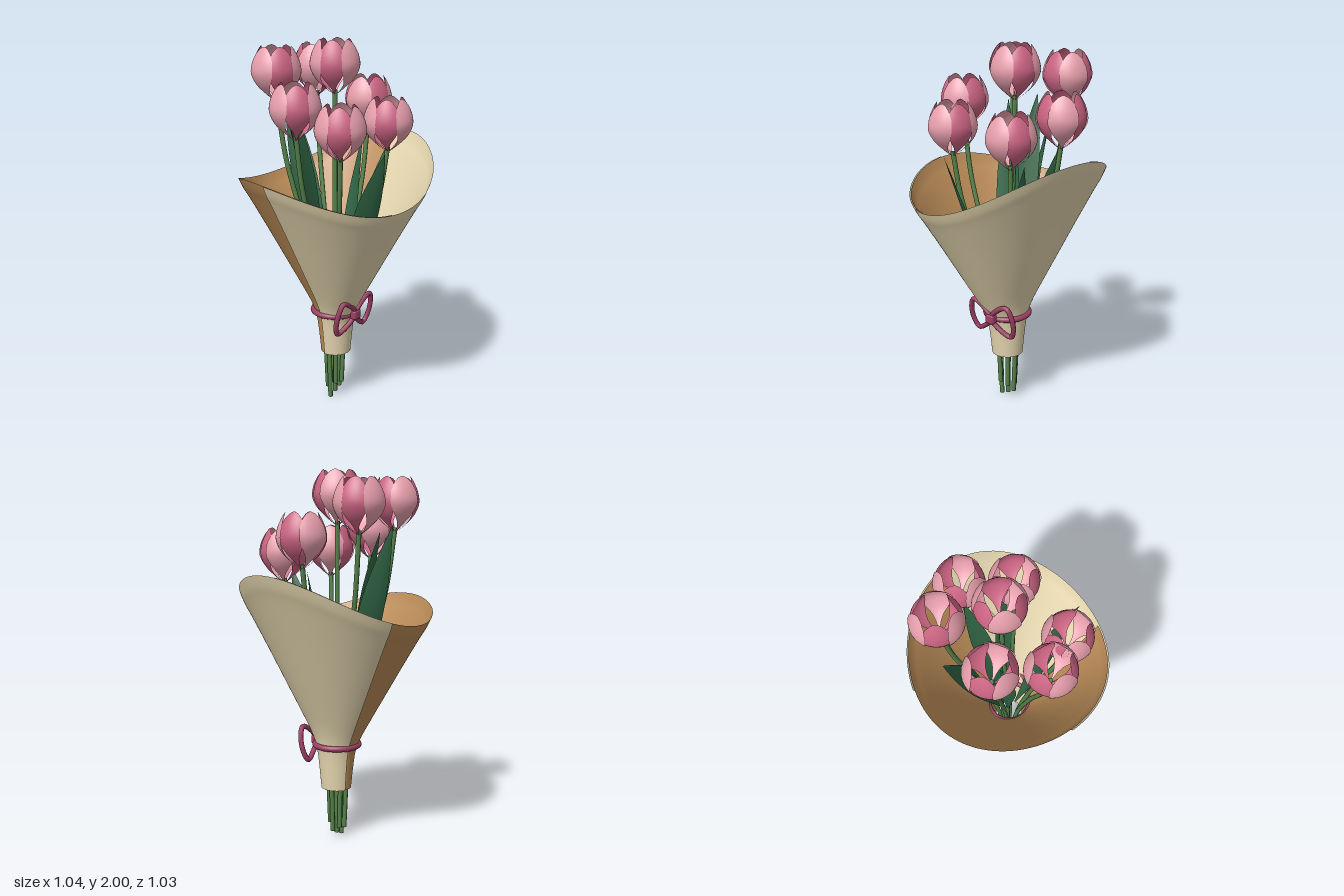
import * as THREE from 'three';
import { RoundedBoxGeometry } from 'three/addons/geometries/RoundedBoxGeometry.js';

const V = (x, y, z) => new THREE.Vector3(x, y, z);
const mat = (color) => new THREE.MeshStandardMaterial({ color, side: THREE.DoubleSide });
const cream = mat(0xe6d7b0), tan = mat(0xbb8c58), ribbon = mat(0x9c3f63);
const lightPink = mat(0xe8a0ad), darkPink = mat(0xcc6584);
const stemGreen = mat(0x55824a), leafGreen = mat(0x2f6444);

// Piecewise linear lookup in [[t, value], ...]
function lookup(table, t) {
  for (let i = 1; i < table.length; i++) {
    const [t0, a] = table[i - 1], [t1, b] = table[i];
    if (t <= t1) return a + (b - a) * (t - t0) / (t1 - t0);
  }
  return table[table.length - 1][1];
}

// Surface from a rule point(u, v), u across and v along
function surface(cols, rows, point) {
  const pos = [], idx = [];
  for (let j = 0; j <= rows; j++)
    for (let i = 0; i <= cols; i++) pos.push(...point(i / cols, j / rows).toArray());
  for (let j = 0; j < rows; j++)
    for (let i = 0; i < cols; i++) {
      const a = j * (cols + 1) + i, b = a + 1, c = a + cols + 1, d = c + 1;
      idx.push(a, c, b, b, c, d);
    }
  const g = new THREE.BufferGeometry();
  g.setAttribute('position', new THREE.Float32BufferAttribute(pos, 3));
  g.setIndex(idx);
  g.computeVertexNormals();
  return g;
}

function add(parent, name, geometry, material) {
  const m = new THREE.Mesh(geometry, material);
  m.name = name;
  parent.add(m);
  return m;
}

// Paper cone with a wavy rim, swept between two angles (0 = +x, 90 = +z)
const coneCurve = new THREE.SplineCurve([
  [0.086, 0], [0.098, 0.12], [0.113, 0.22], [0.143, 0.3], [0.195, 0.4], [0.249, 0.5],
  [0.303, 0.6], [0.357, 0.7], [0.412, 0.8], [0.468, 0.9], [0.498, 0.95], [0.52, 1],
].map(([r, t]) => new THREE.Vector2(r, t)));

function paper(fromDeg, toDeg, offset) {
  return surface(72, 36, (u, v) => {
    const a = THREE.MathUtils.degToRad(fromDeg + (toDeg - fromDeg) * u);
    const rim = 1.307 + 0.075 * Math.cos(a) + 0.0875 * Math.cos(2 * a) + 0.033 * Math.sin(2 * a);
    const p = coneCurve.getPoint(v), r = p.x + offset;
    return V(r * Math.cos(a), 0.28 + p.y * (rim - 0.28), r * Math.sin(a));
  });
}

// Petal: a patch of a cup, narrow at the base and pointed at the tip
const cupCurve = new THREE.SplineCurve([
  [0.008, 0], [0.05, 0.033], [0.1, 0.083], [0.128, 0.143], [0.123, 0.198], [0.103, 0.248], [0.08, 0.285],
].map(([x, y]) => new THREE.Vector2(x, y)));
const petalSpread = [[0, 0.25], [0.12, 0.2], [0.24, 0.3], [0.36, 0.48], [0.5, 0.62], [0.7, 0.62], [0.85, 0.5], [0.95, 0.28], [1, 0.06]];

function petal(scale) {
  return surface(8, 20, (u, v) => {
    const p = cupCurve.getPoint(v), s = u * 2 - 1;
    const a = s * lookup(petalSpread, v);
    const r = p.x * scale;
    return V(r * Math.sin(a), p.y, r * Math.cos(a));
  });
}
const outerPetal = petal(1.02), innerPetal = petal(0.97);

function tulip(x, base, z, foot, turn) {
  const g = new THREE.Group();
  g.name = 'tulip';
  const path = new THREE.CatmullRomCurve3([
    V(x * 0.13, foot, z * 0.13), V(x * 0.2, 0.4, z * 0.2),
    V(x * 0.55, 0.5 + (base - 0.5) * 0.42, z * 0.55), V(x * 0.86, 0.5 + (base - 0.5) * 0.75, z * 0.86),
    V(x, base + 0.02, z),
  ]);
  add(g, 'stem', new THREE.TubeGeometry(path, 28, 0.013, 8), stemGreen);
  for (const t of [0, 1]) {
    const cap = add(g, 'stemEnd', new THREE.CylinderGeometry(0.013, 0.013, 0.004, 8), stemGreen);
    cap.position.copy(path.getPoint(t));
  }
  const head = new THREE.Group();
  head.name = 'flowerHead';
  head.position.set(x, base, z);
  for (let i = 0; i < 6; i++) {
    const m = i % 2
      ? add(head, 'innerPetal', innerPetal, darkPink)
      : add(head, 'outerPetal', outerPetal, lightPink);
    m.rotation.y = turn + i * Math.PI / 3;
  }
  g.add(head);
  return g;
}

// Leaf: folded, twisting blade rising from the neck to a pointed tip
function leaf(x, y, z, half, twist) {
  const a = Math.atan2(z, x);
  return surface(2, 16, (u, v) => {
    const s = u * 2 - 1;
    const w = half * Math.max(0, Math.sin(Math.PI * Math.pow(0.06 + 0.94 * v, 1.4)));
    const dir = a + Math.PI / 2 + twist * v;
    const k = 0.1 + 0.9 * v, fold = Math.abs(s) * w * 0.3;
    return V(
      x * k + Math.cos(dir) * s * w - Math.cos(a) * fold,
      0.45 + (y - 0.45) * v,
      z * k + Math.sin(dir) * s * w - Math.sin(a) * fold,
    );
  });
}

export function createModel() {
  const model = new THREE.Group();
  model.name = 'tulipBouquet';

  // Two overlapping wrapping sheets
  add(model, 'outerPaper', paper(-69, 184, 0), cream);
  add(model, 'innerPaper', paper(-252, -1, -0.008), tan);

  // Flowers: x, head base, z, foot height, turn
  [
    [0.03, 1.715, -0.025, 0.02, 0],
    [-0.17, 1.68, -0.255, 0.05, 0.5],
    [0.18, 1.67, -0.275, 0.06, 0.9],
    [-0.305, 1.525, -0.005, 0.002, 0.3],
    [0.325, 1.5, -0.03, 0.04, 0.7],
    [-0.205, 1.425, 0.2, 0.09, 0.1],
    [0.19, 1.415, 0.205, 0.08, 0],
  ].forEach((t) => model.add(tulip(...t)));

  // Leaves: tip x, y, z, half width, twist
  [
    [-0.09, 1.47, 0.39, 0.07, 0.6],
    [0.03, 1.72, -0.375, 0.07, 1.0],
    [-0.05, 1.7, -0.32, 0.07, -0.6],
    [-0.14, 1.68, -0.18, 0.07, 0.7],
    [0.3, 1.49, -0.04, 0.055, 0.8],
    [0.24, 1.43, 0.16, 0.055, -0.4],
  ].forEach((l) => add(model, 'leaf', leaf(...l), leafGreen));

  // Ribbon band, bow loops and knot
  const band = add(model, 'ribbonBand', new THREE.TorusGeometry(0.12, 0.016, 10, 48), ribbon);
  band.rotation.x = Math.PI / 2;
  band.position.y = 0.525;
  for (const side of [-1, 1]) {
    const loop = new THREE.CatmullRomCurve3([
      V(0, 0.53, 0.142), V(side * 0.06, 0.6, 0.15), V(side * 0.115, 0.62, 0.15),
      V(side * 0.142, 0.57, 0.14), V(side * 0.142, 0.49, 0.122),
      V(side * 0.115, 0.44, 0.11), V(side * 0.06, 0.465, 0.125),
    ], true);
    add(model, 'bowLoop', new THREE.TubeGeometry(loop, 48, 0.014, 8, true), ribbon);
  }
  const knot = add(model, 'bowKnot', new RoundedBoxGeometry(0.058, 0.058, 0.045, 3, 0.015), ribbon);
  knot.position.set(0, 0.53, 0.142);
  return model;
}
